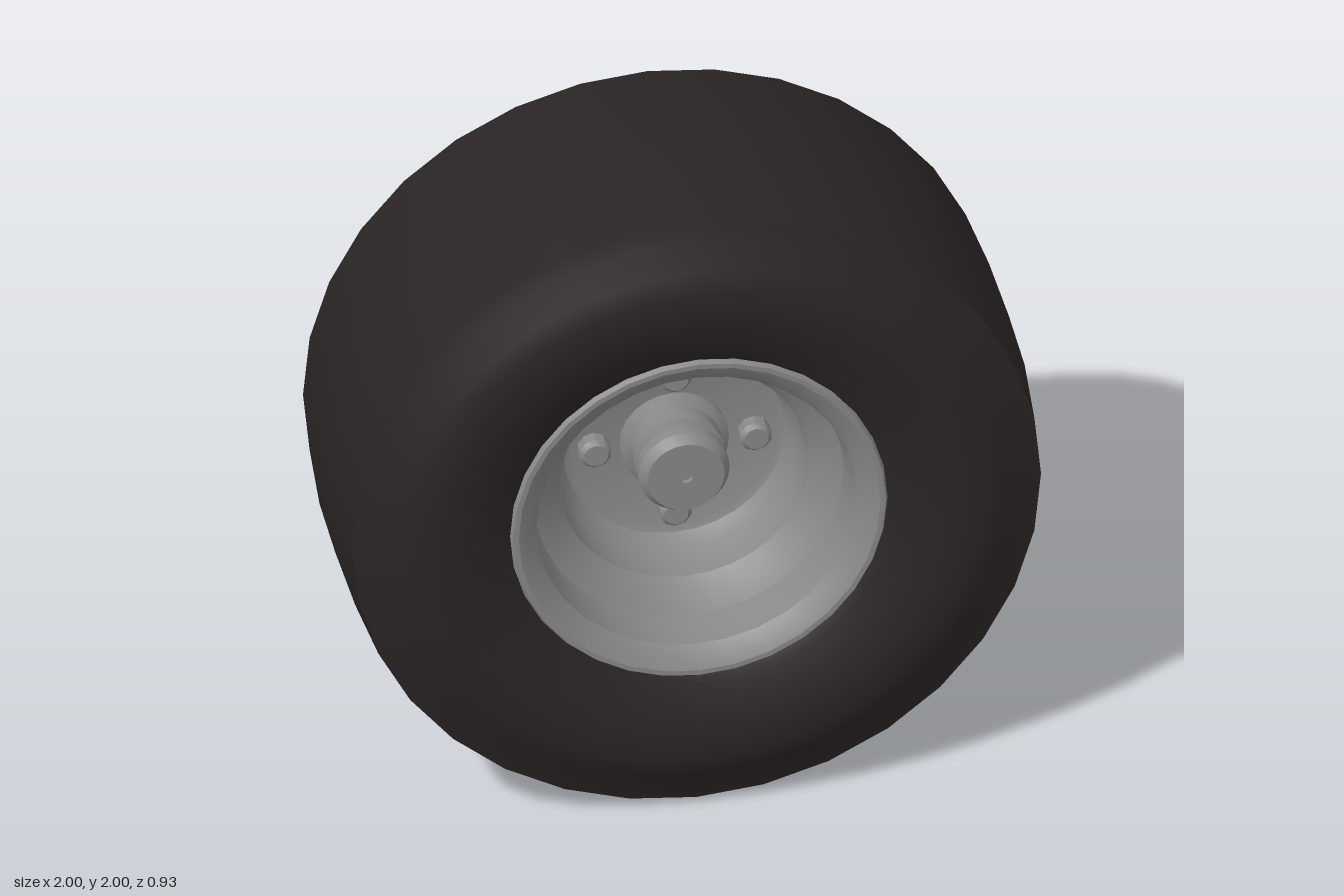
import * as THREE from 'three';
import { toCreasedNormals } from 'three/addons/utils/BufferGeometryUtils.js';
import { ConvexGeometry } from 'three/addons/geometries/ConvexGeometry.js';

const rubber = new THREE.MeshStandardMaterial({ color: 0x2a2524 });
const metal = new THREE.MeshStandardMaterial({ color: 0x888888 });
const dark = new THREE.MeshStandardMaterial({ color: 0x333333 });

function add(parent, name, geometry, material) {
  const mesh = new THREE.Mesh(geometry, material);
  mesh.name = name;
  parent.add(mesh);
  return mesh;
}

// Revolve a counterclockwise [radius, z] profile around the z axis
function turned(profile, sides, crease = 0.5) {
  const geometry = new THREE.LatheGeometry(profile.map(([r, z]) => new THREE.Vector2(r, z)), sides);
  geometry.rotateX(Math.PI / 2);
  return toCreasedNormals(geometry, crease);
}

export function createModel() {
  const model = new THREE.Group();
  model.name = 'wheel';
  const wheel = new THREE.Group();
  wheel.name = 'wheelAssembly';
  wheel.position.y = 1;
  model.add(wheel);

  // Tyre: one half profile, mirrored front to back
  const half = [[1, 0.12], [0.98, 0.377], [0.93, 0.397], [0.86, 0.438], [0.8, 0.465],
    [0.72, 0.465], [0.64, 0.445], [0.57, 0.415], [0.53, 0.395], [0.5, 0.37]];
  const back = half.map(([r, z]) => [r, -z]).reverse();
  add(wheel, 'tyre', turned([...back, ...half], 32), rubber);

  // Rim: deep rear barrel, centre disc, stepped front dish
  add(wheel, 'rim', turned([
    [0, -0.05], [0.31, -0.05], [0.35, -0.08], [0.42, -0.09], [0.46, -0.37], [0.475, -0.4],
    [0.515, -0.425], [0.53, -0.425], [0.537, -0.41], [0.5, -0.37],
    [0.5, 0.37], [0.537, 0.41], [0.53, 0.425], [0.515, 0.425], [0.47, 0.4], [0.455, 0.38],
    [0.44, 0.26], [0.37, 0.21], [0.355, 0.19], [0.345, 0.08], [0.315, 0.03], [0.29, 0.02], [0, 0.02],
  ], 32), metal);

  // Front hub cap with a groove and a small centre dimple
  add(wheel, 'hubCap', turned([
    [0.155, 0.01], [0.155, 0.04], [0.13, 0.055], [0.13, 0.11], [0.11, 0.12], [0.11, 0.14],
    [0.13, 0.15], [0.13, 0.185], [0.11, 0.215], [0.02, 0.215], [0.02, 0.2], [0, 0.2],
  ], 24), metal);

  // Hollow rear hub
  add(wheel, 'rearHub', turned([
    [0, -0.18], [0.055, -0.18], [0.055, -0.27], [0.075, -0.27], [0.082, -0.26],
    [0.082, -0.2], [0.105, -0.18], [0.115, -0.04],
  ], 24), metal);

  // Tapered star arm bracing the hub against the disc
  const armGeometry = new ConvexGeometry([
    [0.32, 0.015, -0.045], [0.32, -0.015, -0.045], [0.31, 0, -0.07],
    [0.08, 0.08, -0.045], [0.08, -0.08, -0.045], [0.09, 0.025, -0.18], [0.09, -0.025, -0.18],
  ].map((p) => new THREE.Vector3(...p)));
  const boltGeometry = turned([[0.047, 0.01], [0.047, 0.055], [0.035, 0.068], [0, 0.068]], 10);
  const holeGeometry = new THREE.CylinderGeometry(0.022, 0.022, 0.012, 12);
  const collarGeometry = new THREE.TorusGeometry(0.025, 0.007, 6, 12).rotateX(Math.PI / 2);

  for (let i = 0; i < 4; i++) {
    const angle = i * Math.PI / 2;
    const c = Math.cos(angle), s = Math.sin(angle);
    add(wheel, 'bolt', boltGeometry, metal).position.set(0.228 * c, 0.228 * s, 0);
    add(wheel, 'starArm', armGeometry, metal).rotation.z = angle + Math.PI / 4;

    // Drilled holes around the rear hub, between the arms
    for (const [name, geometry, material] of [['hubHole', holeGeometry, dark], ['hubHoleCollar', collarGeometry, metal]]) {
      const part = add(wheel, name, geometry, material);
      part.position.set(0.108 * c, 0.108 * s, -0.13);
      part.rotation.z = angle - Math.PI / 2;
    }
  }
  return model;
}
